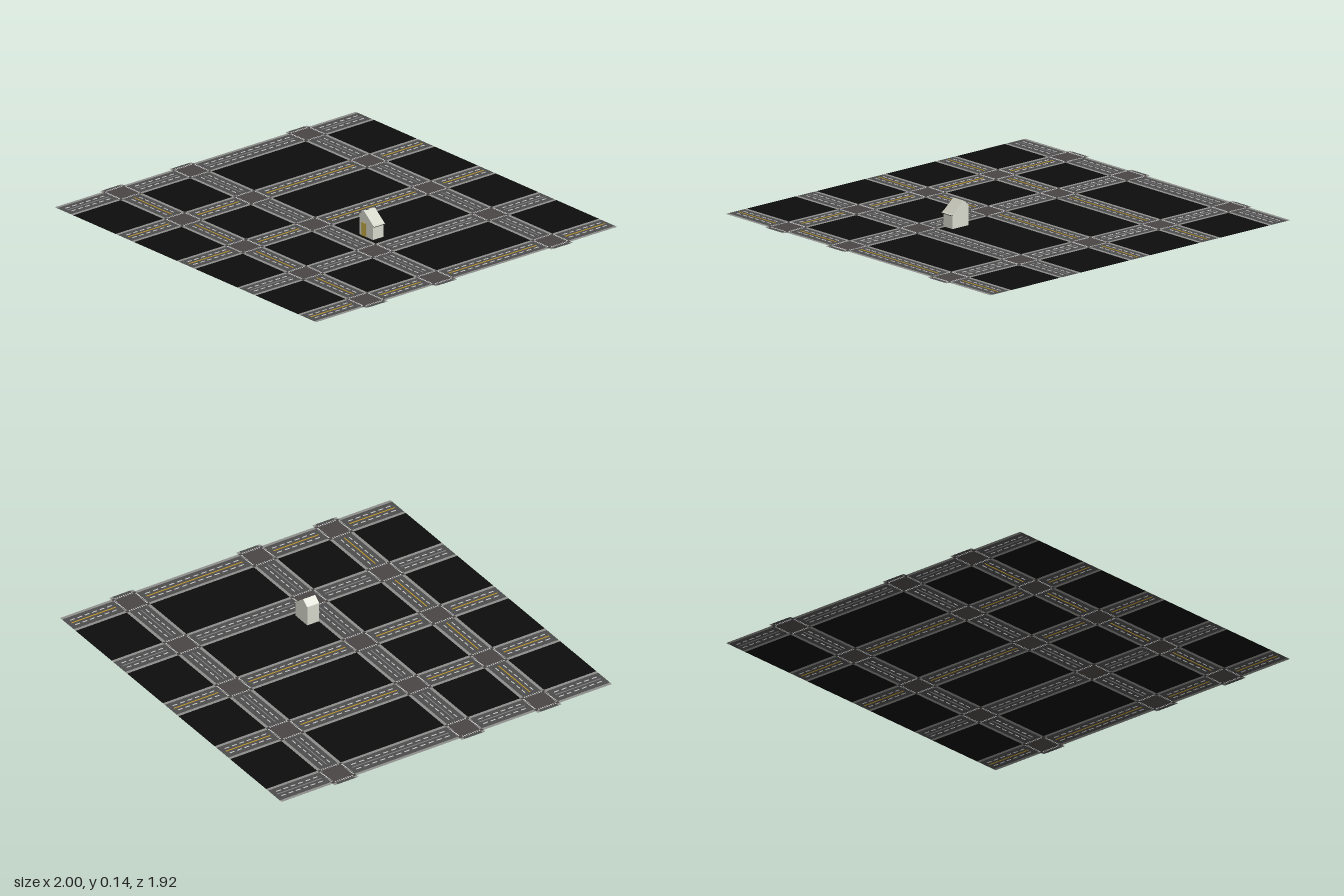
import * as THREE from 'three';
import { mergeGeometries } from 'three/addons/utils/BufferGeometryUtils.js';

const HALF = 0.069;            // half the road width, kerb to kerb
const WALK = 0.017;            // sidewalk width
const LEVEL = 0.002;           // height of the paved surface
const X_END = 1, Z_END = 0.96;
const AVENUES = [-0.914, -0.457, 0.002, 0.457, 0.913];   // run along z
const STREETS = [-0.594, 0.145, 0.587];                  // run along x
const AVENUE_LINES = ['grey', 'yellow', 'yellow', 'grey', 'yellow'];
const STREET_LINES = ['grey', 'grey', 'yellow'];

const material = (color) => new THREE.MeshStandardMaterial({ color, side: THREE.DoubleSide, flatShading: true });

// Flat rectangle on the ground
function slab(x0, x1, z0, z1) {
  return new THREE.PlaneGeometry(x1 - x0, z1 - z0).rotateX(-Math.PI / 2)
    .translate((x0 + x1) / 2, LEVEL, (z0 + z1) / 2);
}

// Painted mark, showing on both faces of the road
function mark(x0, x1, z0, z1) {
  return new THREE.BoxGeometry(x1 - x0, LEVEL * 2, z1 - z0)
    .translate((x0 + x1) / 2, LEVEL, (z0 + z1) / 2);
}

// Stretches between the crossings
function spans(centres, end) {
  const edges = [-end, ...centres.flatMap((c) => [c - HALF, c + HALF]), end];
  const out = [];
  for (let i = 0; i < edges.length; i += 2) out.push([edges[i], edges[i + 1]]);
  return out;
}

export function createModel() {
  const model = new THREE.Group();
  const parts = { asphalt: [], crossing: [], sidewalk: [], block: [], white: [], grey: [], yellow: [] };

  // One stretch of road; place(a0, a1, b0, b1) maps along/across to the ground
  function roadStretch(a0, a1, centre, line, along) {
    const rect = (make, s0, s1, t0, t1) => along === 'z'
      ? make(centre + t0, centre + t1, s0, s1)
      : make(s0, s1, centre + t0, centre + t1);
    const inner = HALF - WALK;
    parts.asphalt.push(rect(slab, a0, a1, -inner, inner));
    parts.sidewalk.push(rect(slab, a0, a1, -HALF, -inner), rect(slab, a0, a1, inner, HALF));
    if (a1 - a0 < 0.1) return;
    // Centre line and lane dashes
    parts[line].push(rect(mark, a0 + 0.02, a1 - 0.02, -0.0025, 0.0025));
    const length = a1 - a0 - 0.04;
    const count = Math.round(length / 0.045);
    const pitch = length / count;
    for (let i = 0; i < count; i++) {
      const s = a0 + 0.02 + (i + 0.18) * pitch;
      for (const t of [-0.023, 0.023]) parts.white.push(rect(mark, s, s + pitch * 0.62, t - 0.0025, t + 0.0025));
    }
  }

  const xSpans = spans(AVENUES, X_END);
  const zSpans = spans(STREETS, Z_END);
  AVENUES.forEach((x, i) => zSpans.forEach(([a, b]) => roadStretch(a, b, x, AVENUE_LINES[i], 'z')));
  STREETS.forEach((z, i) => xSpans.forEach(([a, b]) => roadStretch(a, b, z, STREET_LINES[i], 'x')));

  // Crossings with striped crosswalks on all four sides
  for (const x of AVENUES) for (const z of STREETS) {
    parts.crossing.push(slab(x - HALF, x + HALF, z - HALF, z + HALF));
    for (let i = -4; i <= 4; i++) for (const side of [-1, 1]) {
      const t = i * 0.012, edge = side * (HALF - 0.006);
      parts.white.push(
        mark(x + t - 0.0025, x + t + 0.0025, z + edge - 0.005, z + edge + 0.005),
        mark(x + edge - 0.005, x + edge + 0.005, z + t - 0.0025, z + t + 0.0025));
    }
  }

  // City blocks between the roads
  for (const [x0, x1] of xSpans.slice(1, -1)) for (const [z0, z1] of zSpans) parts.block.push(slab(x0, x1, z0, z1));

  const finish = {
    asphalt: ['roadSurface', 0x4c4c4c], crossing: ['crossings', 0x494545],
    sidewalk: ['sidewalks', 0x8c8c8a], block: ['cityBlocks', 0x0c0c0c],
    white: ['laneDashesAndCrosswalks', 0xdcdcd8], grey: ['greyCentreLines', 0x808080],
    yellow: ['yellowCentreLines', 0xc49a28],
  };
  for (const key in finish) {
    const mesh = new THREE.Mesh(mergeGeometries(parts[key]), material(finish[key][1]));
    mesh.name = finish[key][0];
    model.add(mesh);
  }

  // House: lopsided gable extruded from back to front
  const house = new THREE.Group();
  house.name = 'house';
  const extrude = (points, depth, z, color, name) => {
    const shape = new THREE.Shape(points.map(([x, y]) => new THREE.Vector2(x, y)));
    const geometry = new THREE.ExtrudeGeometry(shape, { depth, bevelEnabled: false }).translate(0, 0, z);
    const mesh = new THREE.Mesh(geometry, material(color));
    mesh.name = name;
    house.add(mesh);
  };
  extrude([[0.257, 0.01], [0.36, 0.01], [0.36, 0.084], [0.293, 0.14], [0.257, 0.113]],
    0.068, 0.002, 0xd8dacd, 'houseWalls');
  extrude([[0.256, 0.113], [0.293, 0.14], [0.293, 0.143], [0.256, 0.116]],
    0.07, 0.001, 0xdedfd4, 'shortRoofSlope');
  extrude([[0.293, 0.14], [0.36, 0.084], [0.37, 0.079], [0.371, 0.082], [0.361, 0.087], [0.293, 0.143]],
    0.07, 0.001, 0xd2d3c6, 'longRoofSlope');
  extrude([[0.36, 0.079], [0.372, 0.079], [0.372, 0.082], [0.36, 0.082]],
    0.07, 0.001, 0x454545, 'eaveTrim');

  // Door with a paler frame
  extrude([[0.272, 0.01], [0.312, 0.01], [0.312, 0.082], [0.272, 0.082]], 0.001, 0.07, 0xd2c68c, 'doorFrame');
  extrude([[0.275, 0.01], [0.309, 0.01], [0.309, 0.079], [0.275, 0.079]], 0.002, 0.07, 0xc4ab45, 'door');
  model.add(house);

  return model;
}
